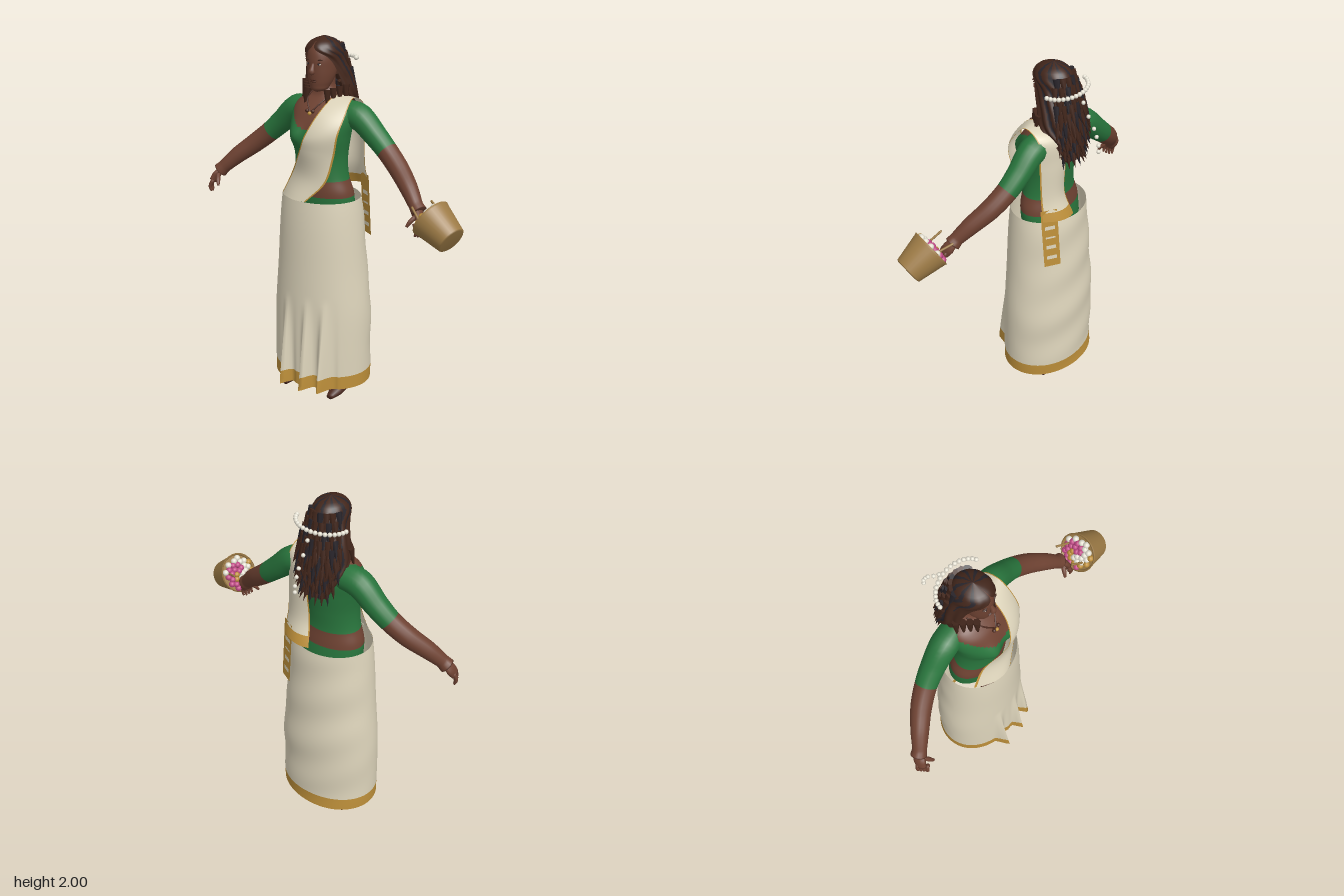
import * as THREE from 'three';

const mat = (name, color, side = THREE.FrontSide) => {
  const m = new THREE.MeshStandardMaterial({ color, side });
  m.name = name;
  return m;
};
const V = (x, y, z) => new THREE.Vector3(x, y, z);
const CX = -0.12; // middle line of the body

export function createModel() {
  const root = new THREE.Group();
  root.name = 'womanWithBasket';
  const D = THREE.DoubleSide;
  const skin = mat('skin', 0x6e4232), hair = mat('hairBrown', 0x42261b, D), hairDark = mat('hairDark', 0x28242a, D);
  const green = mat('blouseGreen', 0x28743c), cream = mat('clothCream', 0xdcd3ba, D), gold = mat('clothGold', 0xbd8f3a, D);
  const wicker = mat('wicker', 0x9c7a45, D), pink = mat('petalPink', 0xc04a86), white = mat('white', 0xe4e0d2);
  const shoe = mat('shoeBrown', 0x4d2a1f);

  const add = (name, geo, material, parent = root) => {
    const m = new THREE.Mesh(geo, material);
    m.name = name;
    parent.add(m);
    return m;
  };
  // Grid surface; pick(u, v, point) chooses the material index of each cell
  const surface = (name, nu, nv, fn, mats, pick = () => 0, closed = true) => {
    const cols = closed ? nu : nu + 1, pos = [], lists = mats.map(() => []);
    for (let j = 0; j <= nv; j++) for (let i = 0; i < cols; i++) pos.push(...fn(i / nu, j / nv).toArray());
    for (let j = 0; j < nv; j++) for (let i = 0; i < nu; i++) {
      const k = (i + 1) % (closed ? nu : nu + 2);
      const a = j * cols + i, b = j * cols + k, c = b + cols, d = a + cols;
      const u = (i + 0.5) / nu, v = (j + 0.5) / nv;
      lists[pick(u, v, fn(u, v))].push(a, b, c, a, c, d);
    }
    const g = new THREE.BufferGeometry();
    g.setAttribute('position', new THREE.Float32BufferAttribute(pos, 3));
    g.setIndex(lists.flat());
    let start = 0;
    lists.forEach((l, n) => { g.addGroup(start, l.length, n); start += l.length; });
    g.computeVertexNormals();
    return add(name, g, mats);
  };
  // Rounded limb through [x, y, z, radius] points, closed at both ends
  const limb = (name, pts, mats, pick, ref = V(0, 0, 1), flat = 1, nv = 24, nu = 16) => {
    const curve = new THREE.CatmullRomCurve3(pts.map(p => V(p[0], p[1], p[2])));
    const fn = (u, v) => {
      const t = Math.min(1, Math.max(0, (v * (nv + 2) - 1) / nv)), k = t * (pts.length - 1);
      const i = Math.min(pts.length - 2, Math.floor(k));
      const r = v <= 0 || v >= 1 ? 0 : THREE.MathUtils.lerp(pts[i][3], pts[i + 1][3], k - i);
      const T = curve.getTangent(t), B = T.clone().cross(ref).normalize(), N = B.clone().cross(T);
      return curve.getPoint(t).addScaledVector(N, r * Math.cos(u * 2 * Math.PI)).addScaledVector(B, r * flat * Math.sin(u * 2 * Math.PI));
    };
    return surface(name, nu, nv + 2, fn, mats, pick);
  };
  // Cross-sections [y, halfWidth, frontZ, backZ], smoothly interpolated
  const profile = rows => {
    const it = new THREE.CubicInterpolant(rows.map(r => r[0]), rows.flatMap(r => r.slice(1)), 3, new Float32Array(3));
    return (a, y) => {
      const [w, f, b] = it.evaluate(y);
      return V(CX + Math.max(0, w) * Math.sin(a), y, (f + b) / 2 + (f - b) / 2 * Math.cos(a));
    };
  };
  const ball = (name, p, r, m, parent = root, sx = 1, sy = 1, sz = 1) => {
    const b = add(name, new THREE.SphereGeometry(r, 10, 8), m, parent);
    b.position.copy(p);
    b.scale.set(sx, sy, sz);
    return b;
  };

  // Torso with neck, bare waist and low-necked blouse
  const torso = profile([[1.06, .19, .13, -.12], [1.18, .187, .14, -.105], [1.26, .16, .14, -.095], [1.36, .15, .145, -.1],
    [1.48, .165, .155, -.115], [1.56, .178, .145, -.122], [1.62, .172, .115, -.12], [1.66, .145, .075, -.105],
    [1.69, .09, .045, -.09], [1.73, .055, .035, -.075], [1.8, .052, .04, -.07]]);
  surface('torso', 72, 74, (u, v) => {
    const p = torso(u * 2 * Math.PI, 1.06 + 0.74 * v);
    if (p.z > 0) for (const s of [-1, 1])
      p.z += 0.045 * Math.exp(-(((p.x - CX - s * 0.08) / 0.06) ** 2) - ((p.y - 1.49) / 0.065) ** 2);
    return p;
  }, [skin, green], (u, v, p) => {
    const neckline = (p.z > 0 ? 1.53 : 1.58) + 4 * (p.x - CX) ** 2;
    return p.y < 1.165 || (p.y > 1.25 && p.y < neckline) ? 1 : 0;
  });

  // Wrapped skirt with sharp front pleats and a gold hem
  const skirt = profile([[.08, .287, .25, -.205], [.3, .287, .245, -.202], [.5, .285, .238, -.205], [.75, .262, .23, -.193],
    [1, .242, .222, -.18], [1.1, .232, .215, -.172], [1.15, .225, .21, -.165]]);
  surface('skirt', 144, 43, (u, v) => {
    const a = u * 2 * Math.PI, p = skirt(a, 0.08 + 1.07 * v);
    const t = Math.min(1, Math.max(0, (0.6 - p.y) / 0.5));
    if (Math.cos(a) > 0) for (const x of [-0.22, -0.08, 0.02])
      p.z += t * (0.075 * Math.max(0, 1 - Math.abs(p.x - x) / 0.03) - 0.012 * Math.max(0, 1 - Math.abs(p.x - x - 0.05) / 0.02));
    else p.z += 0.004 * Math.sin(p.y * 22 + p.x * 9);
    return p;
  }, [cream, gold], (u, v) => v < 3 / 43 ? 1 : 0);

  // Sash over the left shoulder: paired left and right edge points, front to back
  const L = new THREE.CatmullRomCurve3([V(-.31, 1.15, .12), V(-.24, 1.28, .125), V(-.15, 1.42, .185), V(-.11, 1.5, .2), V(-.06, 1.62, .14),
    V(-.035, 1.695, .02), V(-.05, 1.65, -.12), V(-.07, 1.5, -.135), V(-.08, 1.3, -.125), V(-.1, 1.17, -.17)]);
  const R = new THREE.CatmullRomCurve3([V(-.1, 1.15, .205), V(0, 1.26, .16), V(.04, 1.4, .14), V(.065, 1.52, .14), V(.075, 1.6, .1),
    V(.075, 1.695, .01), V(.08, 1.65, -.08), V(.08, 1.5, -.09), V(.08, 1.3, -.1), V(.09, 1.19, -.125)]);
  surface('sash', 24, 60, (u, v) => {
    const p = L.getPoint(v).lerp(R.getPoint(v), u), bulge = 4 * u * (1 - u) * Math.cos(Math.PI * Math.min(1, v / 1.1));
    p.z += 0.035 * bulge;
    return p;
  }, [cream, gold], (u, v) => u < 0.05 || u > 0.95 || v > 0.95 ? 1 : 0, false);

  // Hanging end of the sash with pale bars
  surface('sashTail', 10, 32, (u, v) => V(0.015 + 0.08 * u, 0.9 + 0.35 * v, -0.185 + 0.045 * u + 0.03 * v),
    [gold, cream], (u, v) => u > 0.2 && u < 0.8 && v < 0.85 && (v * 5.5) % 1 > 0.68 ? 1 : 0, false);

  // Arms, hands, legs and heeled shoes, mirrored
  for (const s of [-1, 1]) {
    const side = s > 0 ? 'left' : 'right', X = d => CX + s * d;
    limb(side + 'Arm', [[X(.11), 1.6, -.04, .07], [X(.2), 1.585, -.04, .073], [X(.3), 1.5, -.04, .063], [X(.38), 1.43, -.03, .057],
      [X(.47), 1.355, 0, .054], [X(.56), 1.28, .05, .047], [X(.625), 1.215, .09, .037], [X(.65), 1.19, .1, .042]],
      [skin, green], (u, v) => v < 0.43 ? 1 : 0, undefined, 1, 40);
    limb(side + 'Palm', [[X(.64), 1.2, .095, .026], [X(.665), 1.165, .115, .036], [X(.68), 1.13, .135, .03]], [skin], undefined, undefined, 0.55, 8);
    for (let i = 0; i < 4; i++) {
      const z = 0.115 + 0.015 * i, d = 0.69 - 0.008 * i;
      limb(side + 'Finger', [[X(d - .008), 1.145, z, .011], [X(d + .008), 1.105, z + .008, .01], [X(d), 1.07 + .005 * Math.abs(i - 1), z + .006, .006]],
        [skin], undefined, undefined, 1, 6, 8);
    }
    limb(side + 'Thumb', [[X(.65), 1.175, .12, .013], [X(.628), 1.145, .15, .012], [X(.615), 1.12, .165, .007]], [skin], undefined, undefined, 1, 6, 8);

    const fx = X(.15);
    limb(side + 'Leg', [[fx, .07, -.045, .034], [fx, .16, -.045, .034], [fx, .35, -.03, .055], [fx, .6, 0, .065]], [skin]);
    limb(side + 'Shoe', [[fx, .08, -.085, .024], [fx, .08, -.04, .036], [X(.152), .05, .04, .034], [X(.157), .032, .12, .03], [X(.157), .018, .185, .014]],
      [shoe], undefined, V(0, 1, 0), 1.35);
    const heel = add(side + 'Heel', new THREE.CylinderGeometry(0.022, 0.009, 0.08, 10), shoe);
    heel.position.set(fx, 0.04, -0.078);
  }

  // Head and face
  const head = profile([[1.712, 0, .06, .03], [1.722, .034, .08, .005], [1.75, .054, .09, -.03], [1.79, .068, .095, -.06],
    [1.84, .075, .098, -.08], [1.89, .077, .098, -.09], [1.94, .068, .085, -.085], [1.97, .05, .06, -.065], [1.985, 0, .005, -.01]]);
  surface('head', 40, 36, (u, v) => head(u * 2 * Math.PI, 1.712 + 0.273 * v), [skin]);
  limb('nose', [[CX, 1.87, .09, .007], [CX, 1.845, .102, .01], [CX, 1.825, .108, .016], [CX, 1.816, .1, .012]], [skin], undefined, undefined, 1.1, 10, 12);
  ball('upperLip', V(CX, 1.782, .094), .022, shoe, root, 1, .2, .4);
  ball('lowerLip', V(CX, 1.773, .093), .019, shoe, root, 1, .28, .45);
  for (const s of [-1, 1]) {
    const x = CX + s * 0.032;
    ball('eye', V(x, 1.864, .087), .012, white, root, 1, .45, .4);
    ball('iris', V(x, 1.864, .0905), .0055, hairDark, root, 1, 1, .5);
    ball('eyelid', V(x, 1.871, .087), .015, shoe, root, 1, .2, .4);
    ball('eyebrow', V(x + s * .003, 1.886, .086), .02, hair, root, 1, .16, .4);
  }

  // Long wavy hair, open around the face
  const hairShape = profile([[1.5, .085, -.06, -.17], [1.6, .125, 0, -.185], [1.7, .14, .05, -.185], [1.8, .122, .07, -.165],
    [1.88, .1, .09, -.135], [1.94, .089, .1, -.11], [1.98, .055, .06, -.07], [2, 0, 0, -.01]]);
  const opening = new THREE.CubicInterpolant([1.5, 1.6, 1.7, 1.8, 1.9, 1.945, 2], [2.1, 1.75, 1.15, 1.05, .8, .12, 0], 1, new Float32Array(1));
  surface('hair', 80, 60, (u, v) => {
    const y = 1.5 + 0.5 * v, a0 = Math.max(0, opening.evaluate(y)[0]), a = a0 + u * (2 * Math.PI - 2 * a0), p = hairShape(a, y);
    const ridge = 1 + 0.035 * Math.sin(u * 60 + y * 25) * Math.min(1, (2 - y) * 6);
    p.x = CX + (p.x - CX) * ridge;
    p.z = -0.04 + (p.z + 0.04) * ridge;
    return p;
  }, [hair, hairDark], (u, v) => Math.sin(u * 60 + v * 12) < -0.45 && u > 0.12 && u < 0.88 ? 1 : 0, false);

  // Pointed locks down the back and beside the face
  const lock = (p, dir, r, len, m) => {
    const c = add('hairLock', new THREE.ConeGeometry(r, len, 6), m);
    c.position.copy(p);
    c.quaternion.setFromUnitVectors(V(0, 1, 0), dir.normalize());
  };
  for (let j = 0; j < 10; j++) for (let i = 0; i < 7; i++) {
    const a = Math.PI + (i - 3 + (j % 2) * 0.5) * 0.33, p = hairShape(a, 1.52 + 0.042 * j);
    lock(p, V(Math.sin(a) * 0.35, -1, Math.cos(a) * 0.45), 0.021, 0.11, (i + j * 2) % 3 ? hair : hairDark);
  }
  for (const s of [-1, 1]) for (let i = 0; i < 4; i++)
    lock(V(CX + s * (0.135 - 0.022 * i), 1.69 - 0.008 * i, -0.01 + 0.025 * i), V(s * 0.12, -1, 0.15), 0.02, 0.13, hair);

  // Flower garland around the back of the head, with a trailing string
  for (let i = 0; i < 17; i++) {
    const a = (i / 16 - 0.5) * 2.8;
    ball('garlandFlower', V(CX + 0.147 * Math.sin(a), 1.885 - 0.008 * Math.cos(a), -0.07 - 0.105 * Math.cos(a)), .012, white);
  }
  [[1.84, -.2], [1.775, -.235], [1.72, -.272], [1.68, -.29], [1.635, -.304], [1.6, -.305]]
    .forEach(([y, z]) => ball('trailingFlower', V(CX, y, z), .011, white));

  // Necklace
  const chain = [-1, 1].map(s => [[CX + s * .065, 1.71, .0, .004], [CX + s * .05, 1.675, .075, .004], [CX, 1.615, .125, .004]]);
  chain.forEach(c => limb('necklace', c, [shoe], undefined, V(1, 0, 0), 1, 10, 6));
  [-1, 0, 1].forEach(i => ball('necklaceBead', V(CX + i * .018, 1.612 + Math.abs(i) * .012, .13 - Math.abs(i) * .004), .01, i ? shoe : gold));

  // Tilted basket of flowers at the left hand
  const basket = new THREE.Group();
  basket.name = 'basket';
  basket.position.set(0.765, 1.108, 0.187);
  basket.quaternion.setFromUnitVectors(V(0, 1, 0), V(-0.145, 0.085, -0.035).normalize());
  root.add(basket);
  const wall = [[0, 0], [.07, 0], [.078, .006], [.108, .155], [.112, .165], [.104, .166], [.1, .155]].map(p => new THREE.Vector2(...p));
  add('basketBody', new THREE.LatheGeometry(wall, 32), wicker, basket);
  const lining = add('basketFilling', new THREE.CylinderGeometry(.1, .1, .01, 24), wicker, basket);
  lining.position.y = 0.145;
  for (let i = 0; i < 34; i++) {
    const r = 0.09 * Math.sqrt((i + 0.5) / 34), a = i * 2.39996;
    ball('flower', V(r * Math.cos(a), 0.178 - r * 0.15, r * Math.sin(a)), .018, [pink, white, gold, pink, white][i % 5], basket);
  }
  limb('basketHandle', [[.57, 1.24, .05, .006], [.68, 1.19, .11, .006]], [wicker], undefined, undefined, 1, 4, 8);
  limb('basketHandle', [[.53, 1.235, .175, .006], [.61, 1.17, .215, .006]], [wicker], undefined, undefined, 1, 4, 8);
  return root;
}
